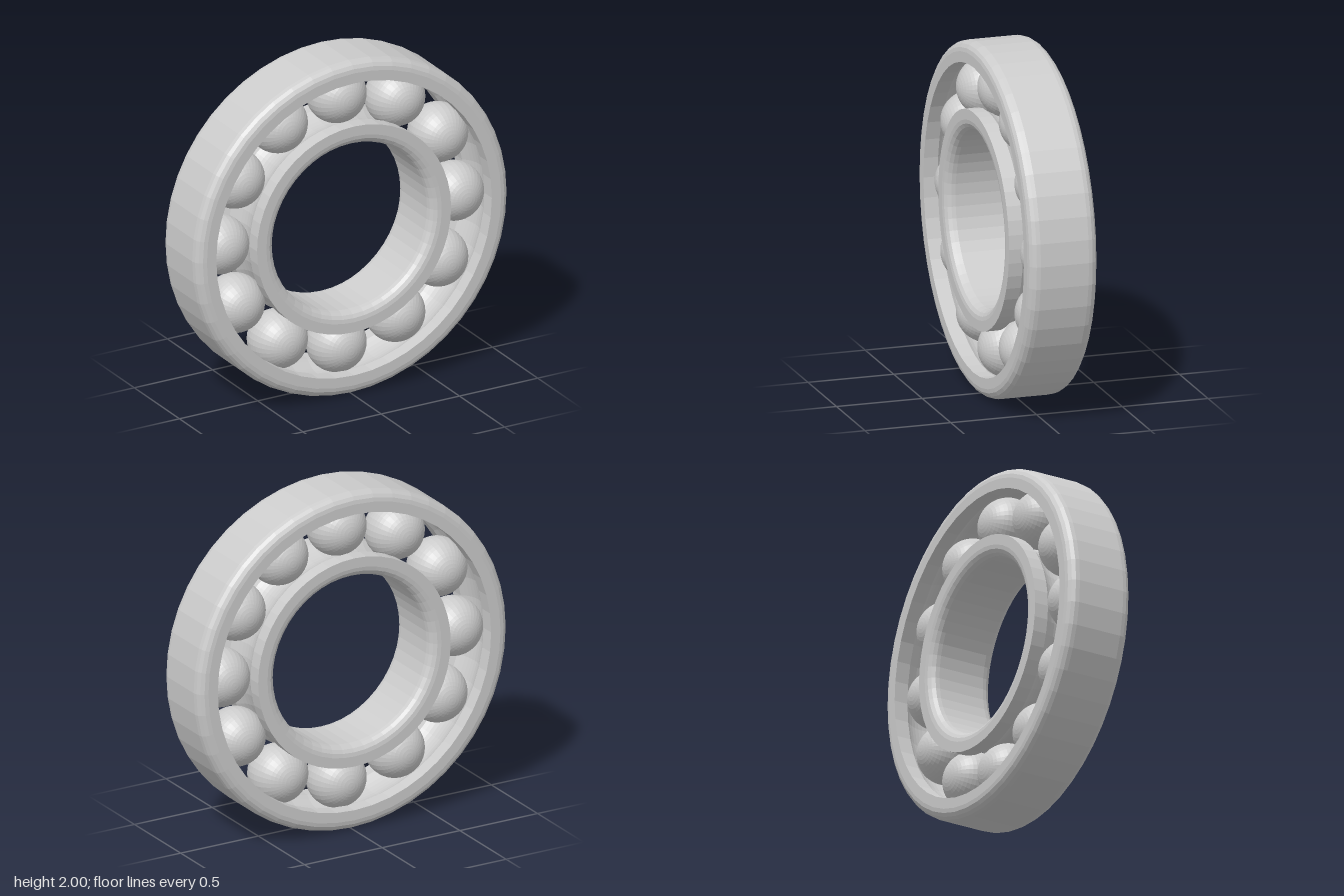
import * as THREE from 'three';

const PITCH = 0.75;   // radius of the circle through the ball centres
const HALF = 0.2;     // half the bearing's width
const BALL_R = 0.17;
const BALLS = 12;

// Closed ring cross-section as [distance from pitch circle, z]
function ringSection() {
  const lip = 0.13, wall = 0.25, bevel = 0.06, groove = 0.175;
  const pts = [[lip, -HALF]];
  const arc = (cx, cy, r, from, to, n) => {
    for (let i = 0; i <= n; i++) {
      const a = from + (to - from) * i / n;
      pts.push([cx + r * Math.cos(a), cy + r * Math.sin(a)]);
    }
  };
  // rounded corners on the wall away from the balls
  arc(wall - bevel, bevel - HALF, bevel, -Math.PI / 2, 0, 4);
  arc(wall - bevel, HALF - bevel, bevel, 0, Math.PI / 2, 4);
  pts.push([lip, HALF]);
  // ball groove between the two lips
  const open = Math.acos(lip / groove);
  arc(0, 0, groove, open, -open, 10);
  pts.push([lip, -HALF]);
  return pts;
}

// side = 1 for the outer ring, -1 for the mirrored inner ring
function makeRing(name, side, material) {
  const points = ringSection().map(([d, z]) => new THREE.Vector2(PITCH + side * d, z));
  if (side < 0) points.reverse();
  const geometry = new THREE.LatheGeometry(points, 48);
  geometry.rotateX(Math.PI / 2);
  const mesh = new THREE.Mesh(geometry, material);
  mesh.name = name;
  mesh.position.y = 1;
  return mesh;
}

export function createModel() {
  const model = new THREE.Group();
  model.name = 'ballBearing';
  const material = new THREE.MeshStandardMaterial({ color: 0xcccccc, flatShading: true });

  model.add(makeRing('outerRing', 1, material), makeRing('innerRing', -1, material));

  // balls evenly spaced in the grooves
  const balls = new THREE.Group();
  balls.name = 'balls';
  balls.position.y = 1;
  const ballGeometry = new THREE.SphereGeometry(BALL_R, 32, 24);
  ballGeometry.rotateX(Math.PI / 2);
  for (let i = 0; i < BALLS; i++) {
    const a = i / BALLS * Math.PI * 2;
    const ball = new THREE.Mesh(ballGeometry, material);
    ball.name = `ball${i + 1}`;
    ball.position.set(PITCH * Math.cos(a), PITCH * Math.sin(a), 0);
    balls.add(ball);
  }
  model.add(balls);
  return model;
}
